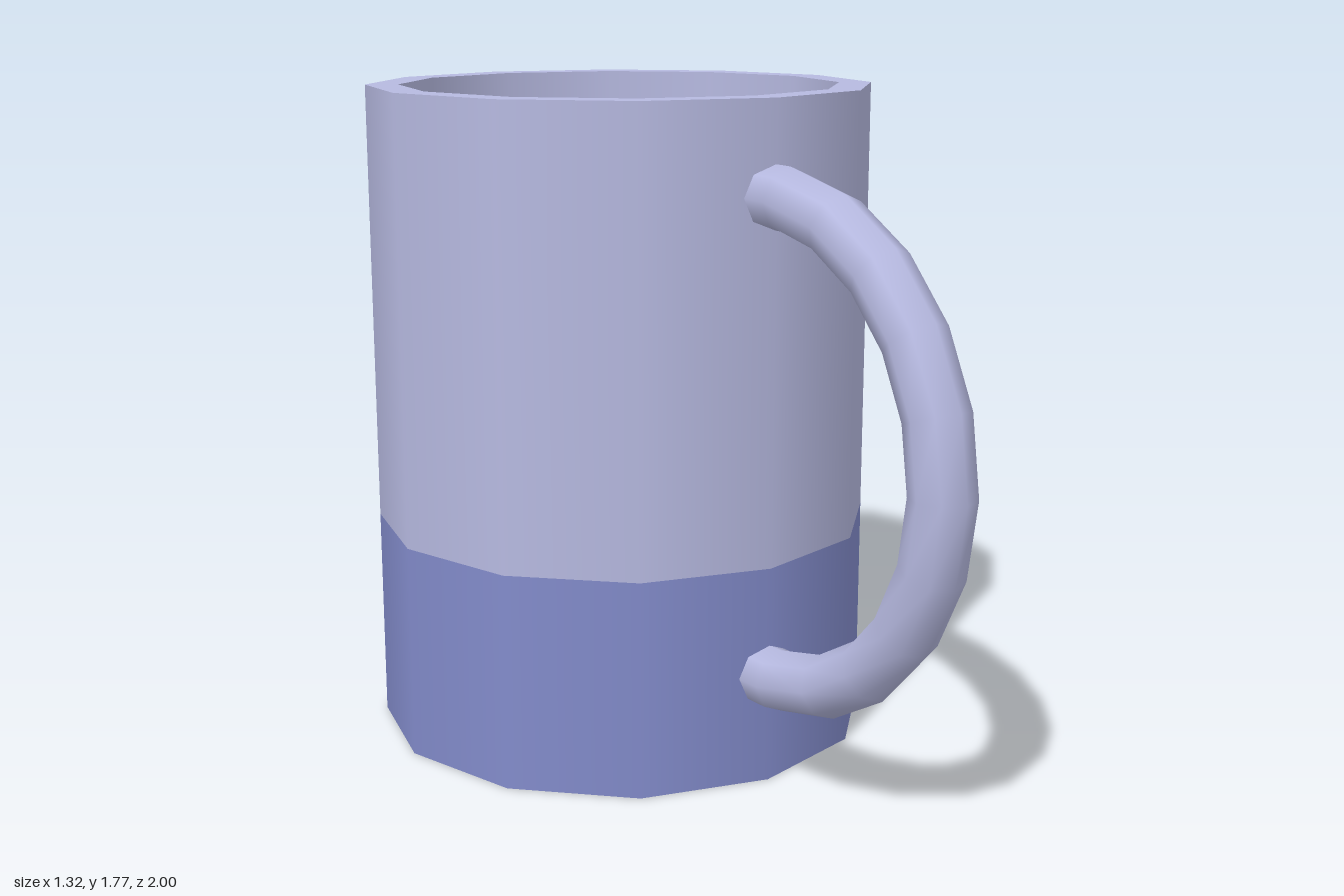
import * as THREE from 'three';

const SIDES = 12, OUTER = 0.683, INNER = 0.595;
const HEIGHT = 1.77, BAND = 0.58, FLOOR = 0.09;

// Handle path: a half circle in the (radius, y) plane, running straight into the wall at both ends
class HandleCurve extends THREE.Curve {
  getPoint(t, target = new THREE.Vector3()) {
    const a = (t * 12 - 6) * THREE.MathUtils.degToRad(17.15);
    const over = Math.abs(a) - Math.PI / 2;
    const R = 0.62;
    if (over > 0) return target.set(0, Math.sign(a) * R, -R * over * 0.4);
    return target.set(0, R * Math.sin(a), R * Math.cos(a));
  }
  getUtoTmapping(u) { return u; }
}

export function createModel() {
  const model = new THREE.Group();
  model.name = 'mug';

  const paleLilac = new THREE.MeshStandardMaterial({ color: 0xb6b9e0 });
  paleLilac.name = 'paleLilac';
  const blue = new THREE.MeshStandardMaterial({ color: 0x828bca });
  blue.name = 'periwinkleBlue';

  const body = new THREE.Group();
  body.name = 'body';
  body.position.z = -0.34;
  model.add(body);

  const add = (name, geometry, material) => {
    const mesh = new THREE.Mesh(geometry, material);
    mesh.name = name;
    body.add(mesh);
    return mesh;
  };

  // One turned strip per profile edge, so the edges between strips stay sharp
  const strip = (name, r0, y0, r1, y1, material) => add(name, new THREE.LatheGeometry(
    [new THREE.Vector2(r0, y0), new THREE.Vector2(r1, y1)], SIDES, Math.PI / SIDES), material);

  strip('base', 0, 0, OUTER, 0, blue);
  strip('lowerBand', OUTER, 0, OUTER, BAND, blue);
  strip('outerWall', OUTER, BAND, OUTER, HEIGHT, paleLilac);
  strip('rim', OUTER, HEIGHT, INNER, HEIGHT, paleLilac);
  strip('innerWall', INNER, HEIGHT, INNER, FLOOR, paleLilac);
  strip('innerFloor', INNER, FLOOR, 0, FLOOR, paleLilac);

  // Handle, set on the wall corner 15 degrees round from the front
  const tube = new THREE.TubeGeometry(new HandleCurve(), 12, 0.081, 8, false);
  tube.translate(0, 0.91, 0.687);
  add('handle', tube, paleLilac).rotation.y = Math.PI / 12;

  return model;
}
